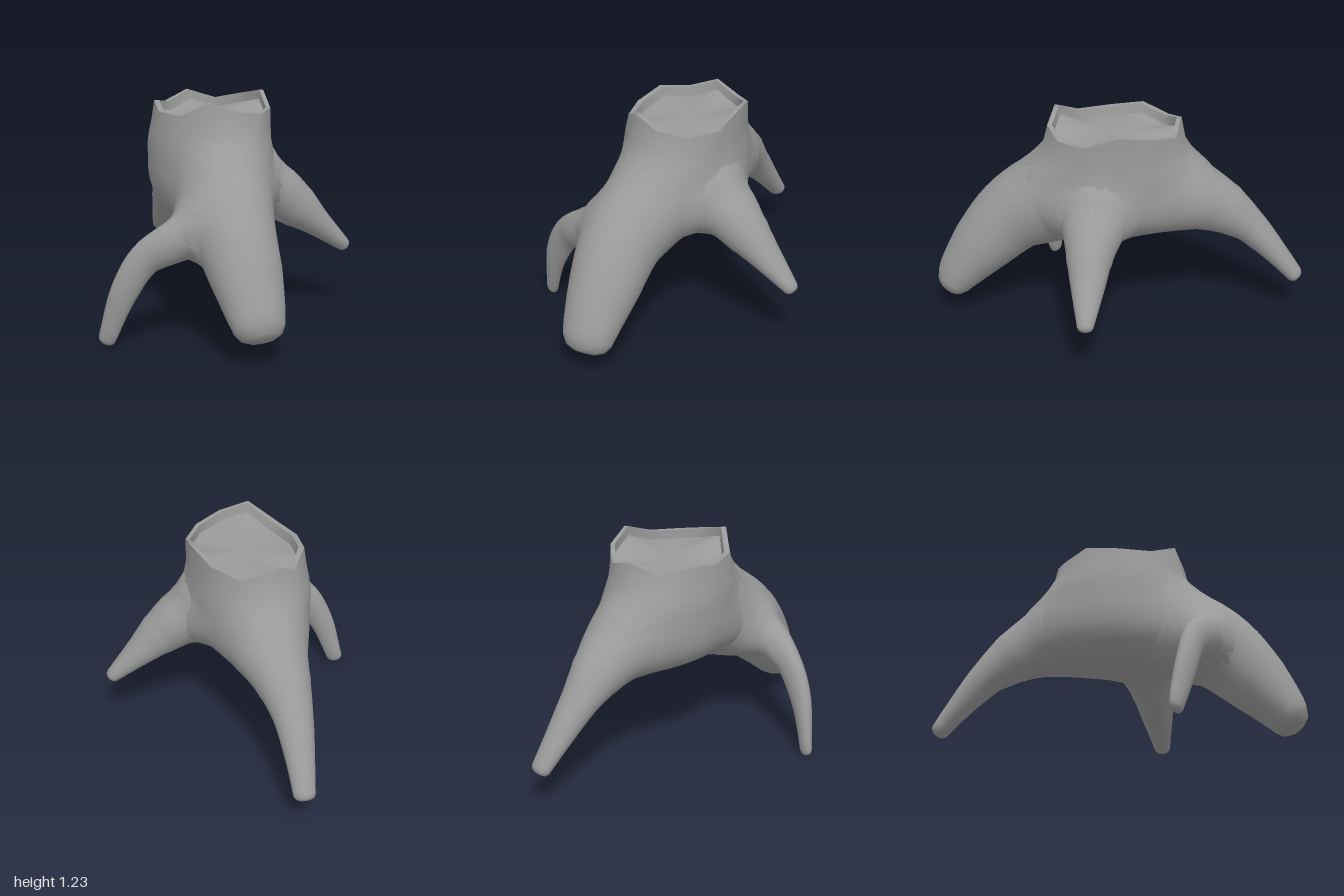
import * as THREE from 'three';
import { toCreasedNormals } from 'three/addons/utils/BufferGeometryUtils.js';

const SIDES = 24;
const BLEND = 0.12;
const material = new THREE.MeshStandardMaterial({ color: 0x9a9a9a, side: THREE.DoubleSide });

// Root sections: [x, y, z, half width, half height]
const ROOTS = {
  frontRoot: [
    [0, 0.76, 0.12, 0.24, 0.21],
    [-0.05, 0.74, 0.36, 0.245, 0.24],
    [-0.1, 0.62, 0.565, 0.22, 0.215],
    [-0.11, 0.43, 0.75, 0.19, 0.178],
    [-0.115, 0.25, 0.895, 0.15, 0.125],
    [-0.115, 0.195, 0.93, 0.135, 0.105],
  ],
  backRoot: [
    [0.02, 0.785, -0.18, 0.23, 0.2],
    [0.04, 0.755, -0.36, 0.205, 0.195],
    [0.045, 0.675, -0.54, 0.148, 0.147],
    [0.055, 0.555, -0.7, 0.105, 0.097],
    [0.085, 0.37, -0.87, 0.073, 0.062],
    [0.107, 0.255, -0.965, 0.058, 0.045],
  ],
  leftRoot: [
    [0.1, 0.75, 0.13, 0.2, 0.16],
    [0.28, 0.72, 0.165, 0.18, 0.155],
    [0.43, 0.615, 0.2, 0.125, 0.125],
    [0.56, 0.505, 0.22, 0.09, 0.08],
    [0.72, 0.365, 0.245, 0.043, 0.038],
  ],
  rightRoot: [
    [-0.1, 0.64, 0.36, 0.17, 0.16],
    [-0.24, 0.61, 0.47, 0.155, 0.15],
    [-0.38, 0.56, 0.48, 0.09, 0.112],
    [-0.525, 0.47, 0.43, 0.06, 0.087],
    [-0.63, 0.29, 0.39, 0.05, 0.072],
    [-0.705, 0.035, 0.335, 0.03, 0.047],
  ],
};

const TRUNK = { z: 0.03, y: 0.95, drop: 0.41, rx: 0.318, rz: 0.43 };

// Approximate distance to the trunk body: a tapering column with a rounded underside
function trunkDistance(p) {
  const above = Math.max(0, p.y - TRUNK.y);
  const below = Math.max(0, TRUNK.y - p.y) / TRUNK.drop;
  const x = p.x / (TRUNK.rx - 0.08 * above), z = (p.z - TRUNK.z) / (TRUNK.rz - 0.4 * above);
  return (Math.sqrt(x * x + z * z + below ** 4) - 1) * 0.3;
}

// Approximate distance to a root: a chain of tapering capsules
function rootDistance(p, sections) {
  let nearest = Infinity;
  for (let i = 0; i < sections.length - 1; i++) {
    const [a, b] = [sections[i], sections[i + 1]];
    const start = new THREE.Vector3(...a.slice(0, 3));
    const along = new THREE.Vector3(...b.slice(0, 3)).sub(start);
    const t = THREE.MathUtils.clamp(p.clone().sub(start).dot(along) / along.lengthSq(), 0, 1);
    const radius = THREE.MathUtils.lerp(Math.min(a[3], a[4]), Math.min(b[3], b[4]), t);
    nearest = Math.min(nearest, start.addScaledVector(along, t).distanceTo(p) - radius);
  }
  return nearest;
}

const PARTS = { trunk: trunkDistance };
for (const name in ROOTS) PARTS[name] = (p) => rootDistance(p, ROOTS[name]);

// Smooth union of trunk and roots
function bodyDistance(p) {
  return Object.values(PARTS).map((part) => part(p)).reduce((d, e) => {
    const h = Math.max(BLEND - Math.abs(d - e), 0) / BLEND;
    return Math.min(d, e) - h * h * BLEND * 0.25;
  });
}

// Push a point outward from a centre to the blended skin, so parts flow together;
// points well inside another part stay just below that part's skin
function fillet(p, centre, name) {
  const others = Object.keys(PARTS).filter((key) => key !== name);
  const depth = -Math.min(...others.map((key) => PARTS[key](p)));
  const margin = name === 'trunk' ? 0.03 : 0.01;
  const sink = THREE.MathUtils.clamp((depth - margin) * 0.3, 0, 0.05);
  const direction = p.clone().sub(centre).normalize();
  let room = 0.1;
  for (let i = 0; i < 12 && room > 0; i++) {
    const step = Math.min(room, -bodyDistance(p) - sink);
    if (step < 0.0005) break;
    p.addScaledVector(direction, step);
    room -= step;
  }
  return p;
}

// Skin a list of closed rings into one surface
function loft(name, rings, crease) {
  const positions = [], index = [];
  rings.forEach((ring) => ring.forEach((p) => positions.push(p.x, p.y, p.z)));
  for (let i = 0; i < rings.length - 1; i++) {
    for (let j = 0; j < SIDES; j++) {
      const a = i * SIDES + j, b = i * SIDES + ((j + 1) % SIDES);
      index.push(a, b, b + SIDES, a, b + SIDES, a + SIDES);
    }
  }
  const geometry = new THREE.BufferGeometry();
  geometry.setAttribute('position', new THREE.Float32BufferAttribute(positions, 3));
  geometry.setIndex(index);
  const mesh = new THREE.Mesh(toCreasedNormals(geometry, crease), material);
  mesh.name = name;
  return mesh;
}

const ringAngles = Array.from({ length: SIDES }, (_, j) => (j / SIDES) * Math.PI * 2);

// Root swept through its sections, ending in a rounded tip
function root(name, sections) {
  const path = new THREE.CatmullRomCurve3(sections.map((s) => new THREE.Vector3(s[0], s[1], s[2])));
  const size = new THREE.CatmullRomCurve3(sections.map((s) => new THREE.Vector3(s[3], s[4], 0)));
  const steps = (sections.length - 1) * 5;
  const up = new THREE.Vector3(0, 1, 0);
  const ringAt = (t, scale, push) => {
    const centre = path.getPoint(t), r = size.getPoint(t), tangent = path.getTangent(t);
    const side = up.clone().cross(tangent).normalize();
    const top = tangent.clone().cross(side);
    centre.addScaledVector(tangent, push * r.y);
    return ringAngles.map((a) => {
      const p = centre.clone()
        .addScaledVector(side, Math.cos(a) * r.x * scale)
        .addScaledVector(top, Math.sin(a) * r.y * scale);
      return t < 0.7 ? fillet(p, centre, name) : p;
    });
  };
  const rings = Array.from({ length: steps + 1 }, (_, i) => ringAt(i / steps, 1, 0));
  rings.push(ringAt(1, 0.8, 0.4), ringAt(1, 0.45, 0.6), ringAt(1, 0, 0.65));
  return loft(name, rings, Math.PI / 2);
}

// Hollow-topped trunk with a jagged twelve-sided rim and a rounded underside
function trunk() {
  const rim = [1.23, 1.16, 1.155, 1.18, 1.23, 1.15, 1.15, 1.18, 1.15, 1.2, 1.15, 1.19];
  const rimHeight = (j) => (rim[Math.floor(j / 2)] + rim[Math.ceil(j / 2) % 12]) / 2;
  // [height around the ring, centre x, radius x, radius z]
  const top = [
    [() => 1.12, 0.02, 0, 0],
    [(j) => rimHeight(j) - 0.05, 0.02, 0.272, 0.325],
    [rimHeight, 0.015, 0.278, 0.33],
    [rimHeight, 0.012, 0.304, 0.356],
    [() => 1.08, 0.005, 0.309, 0.38],
  ];
  const rings = top.map(([height, cx, rx, rz]) => ringAngles.map((a, j) => {
    const flat = j % 2 ? Math.cos(Math.PI / 12) : 1;
    return new THREE.Vector3(
      cx + Math.cos(a) * rx * flat, height(j), TRUNK.z + 0.005 + Math.sin(a) * rz * flat);
  }));
  // Body, rounding in to the middle of the underside
  const core = new THREE.Vector3(0, 0.85, TRUNK.z);
  const bodyRing = (y, rx, rz) => rings.push(ringAngles.map((a) => fillet(
    new THREE.Vector3(Math.cos(a) * rx, y, TRUNK.z + Math.sin(a) * rz), core, 'trunk')));
  bodyRing(1.01, 0.313, 0.406);
  for (let i = 0; i <= 14; i++) {
    const a = (Math.PI / 2) * (i / 14) ** 2;
    bodyRing(TRUNK.y - TRUNK.drop * Math.sqrt(Math.sin(a)), TRUNK.rx * Math.cos(a), TRUNK.rz * Math.cos(a));
  }
  return loft('trunk', rings, Math.PI / 3.5);
}

export function createModel() {
  const group = new THREE.Group();
  group.name = 'treeStump';
  group.add(trunk());
  for (const [name, sections] of Object.entries(ROOTS)) group.add(root(name, sections));
  return group;
}
